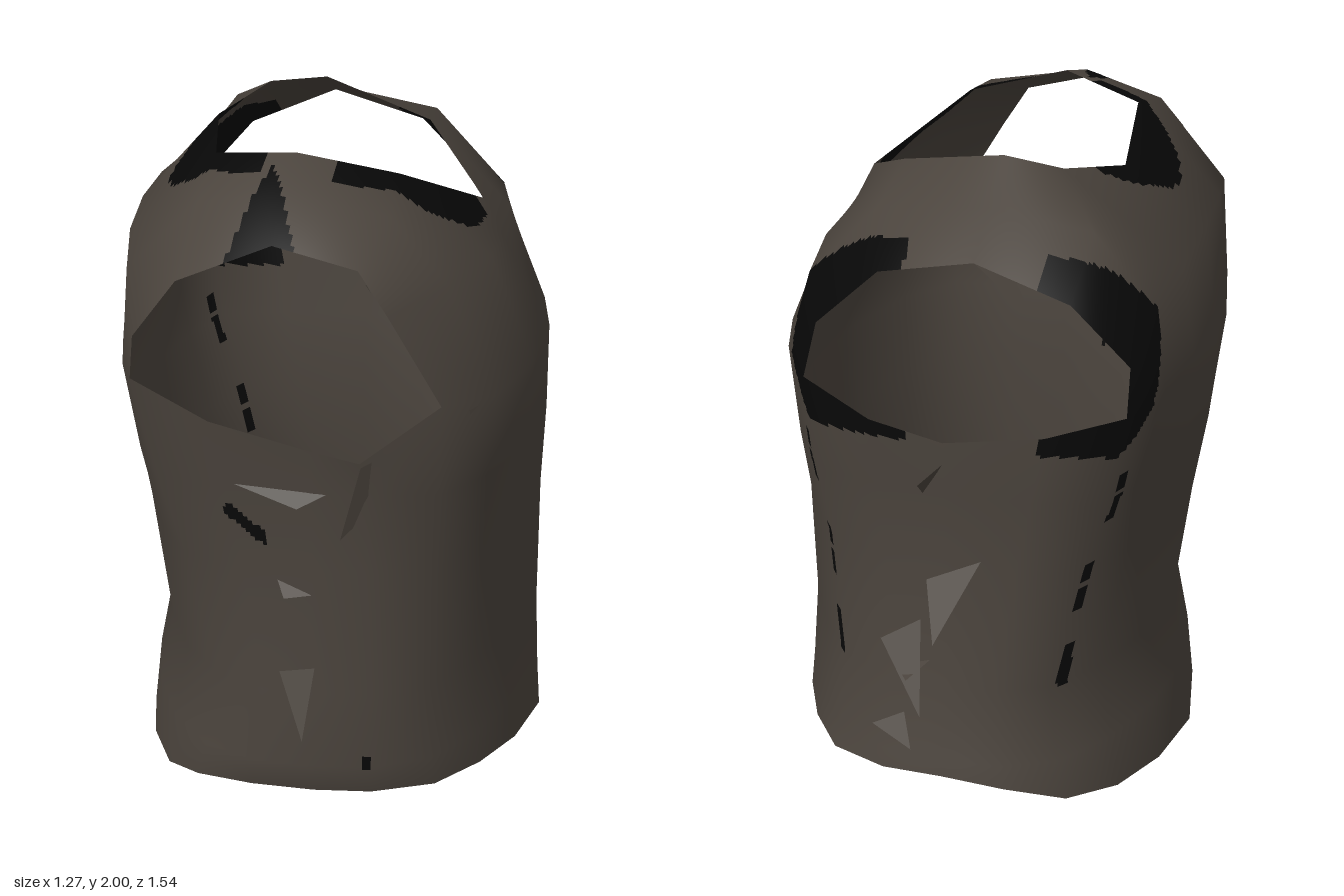
import * as THREE from 'three';

const cloth = new THREE.MeshStandardMaterial({ color: 0x4b443d, side: THREE.DoubleSide });
cloth.name = 'brown cloth';
const trim = new THREE.MeshStandardMaterial({ color: 0x080808, side: THREE.DoubleSide });
trim.name = 'black trim';

// Horizontal outlines: chest (+x), underarm (-z), back (-x), underarm (+z)
const BOXY = [
  [.58, .985], [.8, .76], [.95, .4], [1, 0], [.96, -.33], [.86, -.64], [.66, -.97],
  [.35, -.99], [0, -1], [-.45, -.98],
  [-.8, -.93], [-.9, -.62], [-.97, -.3], [-1, 0], [-.97, .3], [-.9, .62], [-.8, .92],
  [-.45, .98], [0, 1], [.22, 1],
];
const ROUND = [
  [.55, .86], [.74, .63], [.89, .36], [1, 0], [.89, -.36], [.74, -.63], [.55, -.86],
  [.28, -.98], [0, -1], [-.28, -.98],
  [-.55, -.87], [-.77, -.65], [-.92, -.36], [-1, 0], [-.92, .36], [-.77, .65], [-.55, .87],
  [-.28, .98], [0, 1], [.28, .98],
];
const HEM_Y = [.12, .11, .09, .07, .09, .12, .15, .16, .17, .15,
  .1, .05, .02, 0, .02, .035, .1, .12, .12, .12];
const ARMPIT_Y = [1.39, 1.36, 1.36, 1.36, 1.36, 1.38, 1.41, 1.31, 1.27, 1.32,
  1.4, 1.36, 1.33, 1.31, 1.33, 1.36, 1.41, 1.31, 1.24, 1.21];

// Body levels: height, chest reach, back reach, +z reach, -z reach, roundness
const LEVELS = [
  [HEM_Y, .63, .6, .67, .72, .8],
  [.22, .62, .575, .7, .71, .9],
  [.45, .61, .53, .68, .66, 1],
  [.85, .61, .58, .68, .63, .6],
  [1.1, .62, .62, .69, .65, .3],
  [ARMPIT_Y, .62, .64, .71, .66, 0],
];

// Upper panels, from one armhole edge to the other
const CHEST = [
  [[.21, 1.65, .705], [.36, 1.67, .52], [.46, 1.67, .27], [.48, 1.64, .03], [.48, 1.65, -.22], [.45, 1.64, -.45], [.37, 1.58, -.63]],
  [[.13, 1.78, .71], [.2, 1.87, .53], [.2, 1.92, .31], [.42, 1.765, .05], [.24, 1.91, -.21], [.24, 1.87, -.45], [.18, 1.77, -.65]],
];
const BACK = [
  [[-.52, 1.56, -.62], [-.55, 1.66, -.45], [-.58, 1.7, -.25], [-.59, 1.71, 0], [-.58, 1.7, .25], [-.55, 1.66, .46], [-.5, 1.54, .66]],
  [[-.36, 1.74, -.65], [-.38, 1.88, -.48], [-.25, 1.98, -.31], [-.38, 1.93, -.13], [-.32, 1.95, .28], [-.34, 1.88, .5], [-.37, 1.72, .69]],
];
const SHOULDER_F = [[-.1, 1.845, .72], [-.1, 1.93, .54], [-.08, 1.99, .37]];
const SHOULDER_B = [[-.1, 1.845, -.68], [-.09, 1.92, -.49], [-.08, 2, -.31]].reverse();

// Where the black trim lies on the garment
function isTrim({ x, y, z }) {
  const neck = y > 1.72 && (x < -.1 || z > .07) && !(z > .3 && Math.abs(x + .07) < .1)
    && ((x + .03) / .46) ** 2 + ((z - .07) / .375) ** 2 < 1;
  const h = (y - 1.56) / .3;
  const armhole = z < 0 && Math.abs(x + .08) > .19 && Math.abs(h) < 1
    && z < -.65 + .22 * Math.sqrt(1 - h * h);
  const wedge = z > .4 && y > 1.78 && Math.abs(x + .14) < .1 * (z - .4) / .32;
  const stitches = z < 0 && Math.abs(z + .54) < .016
    && [[1.16, .03], [1.07, .04], [.84, .03], [.76, .04], [.52, .08]].some(([c, r]) => Math.abs(y - c) < r);
  const slit = z > 0 && Math.abs(x + .19) < .06 && Math.abs(y - .99 + .8 * (x + .19)) < .022;
  const spot = z > 0 && Math.abs(x - .155) < .012 && Math.abs(y - .23) < .022;
  return neck || armhole || wedge || stitches || slit || spot;
}

// Coarse cage of points and quads
function buildCage() {
  const points = [], quads = [];
  const add = (p) => points.push(p) - 1;
  const join = (low, high, columns) => columns.forEach((c) => {
    const d = (c + 1) % low.length;
    quads.push([low[c], low[d], high[d], high[c]]);
  });
  const range = (n) => [...Array(n).keys()];

  const rings = LEVELS.map(([y, chest, back, zf, zb, k]) => BOXY.map((box, i) => {
    const [u, v] = box.map((b, j) => b + (ROUND[i][j] - b) * k);
    return add([u * (u > 0 ? chest : back), Array.isArray(y) ? y[i] : y, v * (v > 0 ? zf : zb)]);
  }));
  for (let i = 1; i < rings.length; i++) join(rings[i - 1], rings[i], range(20));

  const top = rings[rings.length - 1];
  const front = SHOULDER_F.map(add), rear = SHOULDER_B.map(add);
  const panel = (start, rows, shoulder) => {
    let low = top.slice(start, start + 7);
    rows.forEach((row) => {
      const high = row.map(add);
      join(low, high, range(6));
      low = high;
    });
    join(low, shoulder, [0, 1, 4, 5]);
  };
  panel(0, CHEST, [...front, -1, ...rear]);
  panel(10, BACK, [...[...rear].reverse(), -1, ...[...front].reverse()]);
  return { points, quads };
}

// Subdivide the cage with smooth normals and sort the faces by colour
function garmentGeometry() {
  const { points, quads } = buildCage();
  const cage = new THREE.BufferGeometry();
  cage.setAttribute('position', new THREE.Float32BufferAttribute(points.flat(), 3));
  cage.setIndex(quads.flatMap(([a, b, c, d]) => [a, b, c, a, c, d]));
  cage.computeVertexNormals();
  const read = (name, i) => new THREE.Vector3().fromBufferAttribute(cage.attributes[name], i);
  const N = 20, positions = [], normals = [], faces = [[], []];
  for (const q of quads) {
    const base = positions.length / 3;
    const P = q.map((i) => read('position', i)), M = q.map((i) => read('normal', i));
    const mix = (v, s, t) => v[0].clone().lerp(v[1], s).lerp(v[3].clone().lerp(v[2], s), t);
    for (let j = 0; j <= N; j++) for (let i = 0; i <= N; i++) {
      positions.push(...mix(P, i / N, j / N).toArray());
      normals.push(...mix(M, i / N, j / N).normalize().toArray());
    }
    for (let j = 0; j < N; j++) for (let i = 0; i < N; i++) {
      const a = base + j * (N + 1) + i, d = a + N + 1;
      const k = isTrim(mix(P, (i + .5) / N, (j + .5) / N)) ? 1 : 0;
      faces[k].push(a, a + 1, d + 1, a, d + 1, d);
    }
  }
  const g = new THREE.BufferGeometry();
  g.setAttribute('position', new THREE.Float32BufferAttribute(positions, 3));
  g.setAttribute('normal', new THREE.Float32BufferAttribute(normals, 3));
  g.setIndex(faces[0].concat(faces[1]));
  g.addGroup(0, faces[0].length, 0);
  g.addGroup(faces[0].length, faces[1].length, 1);
  return g;
}

// Loose torn scraps and folds, one triangle each
const SCRAPS = [
  [[-.09, .55, .73], [.01, .56, .72], [-.02, .35, .78]],
  [[-.1, .82, .68], [0, .78, .69], [-.08, .77, .7]],
  [[-.22, 1.12, .69], [.04, 1.1, .69], [-.04, 1.06, .71]],
  [[.46, 1.36, .6], [.14, 1.2, .715], [.08, .96, .69]],
  [[0, 1.2, -.65], [.06, 1.1, -.66], [.05, 1.17, -.74]],
  [[-.1, .88, -.63], [.06, .8, -.64], [.02, .63, -.72]],
  [[.08, .66, -.64], [.2, .58, -.65], [.05, .4, -.76]],
  [[.12, .36, -.69], [.22, .3, -.69], [.08, .28, -.76]],
  [[.05, .53, -.65], [.15, .5, -.66], [.1, .5, -.73]],
];

export function createModel() {
  const model = new THREE.Group();
  model.name = 'sleevelessTunic';
  const garment = new THREE.Mesh(garmentGeometry(), [cloth, trim]);
  garment.name = 'garment';
  model.add(garment);

  const scrapGeometry = new THREE.BufferGeometry();
  scrapGeometry.setAttribute('position', new THREE.Float32BufferAttribute(SCRAPS.flat(2), 3));
  scrapGeometry.computeVertexNormals();
  const scraps = new THREE.Mesh(scrapGeometry, cloth);
  scraps.name = 'tornScraps';
  model.add(scraps);
  return model;
}
